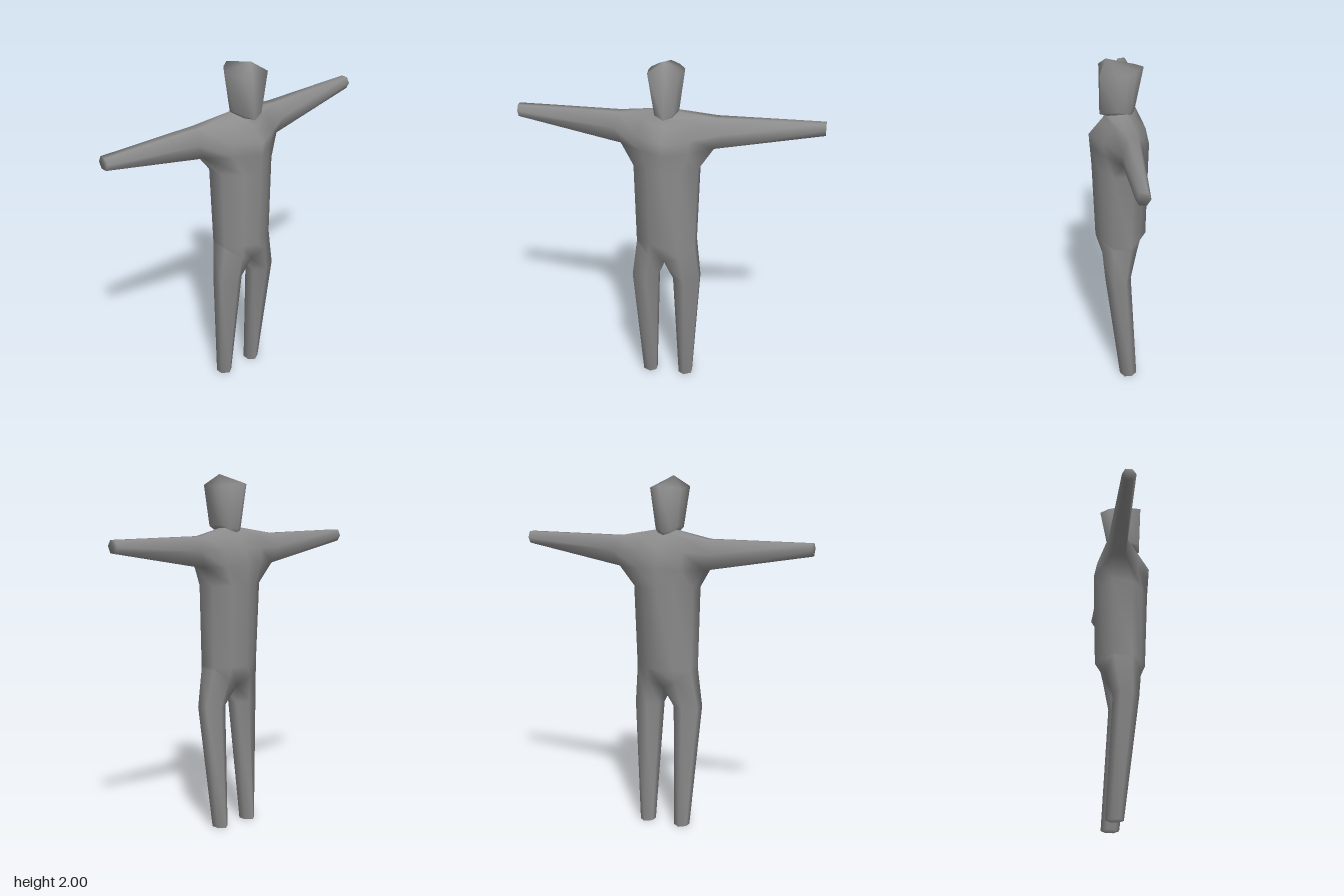
import * as THREE from 'three';
import { mergeGeometries, mergeVertices } from 'three/addons/utils/BufferGeometryUtils.js';

const material = new THREE.MeshStandardMaterial({ color: 0x8c8c8c });

// Skins a list of rings of [x, y, z] points; isOpen(ring, segment) leaves a hole,
// and an end cap fans out from the first point of its ring
function loft(rings, { capStart = false, capEnd = false, isOpen = () => false } = {}) {
  const n = rings[0].length;
  const last = (rings.length - 1) * n;
  const index = [];
  for (let k = 0; k < rings.length - 1; k++) {
    for (let i = 0; i < n; i++) {
      if (isOpen(k, i)) continue;
      const r = k * n;
      const j = (i + 1) % n;
      index.push(r + i, r + j, r + n + i, r + j, r + n + j, r + n + i);
    }
  }
  for (let i = 1; i < n - 1; i++) {
    if (capStart) index.push(0, i + 1, i);
    if (capEnd) index.push(last, last + i, last + i + 1);
  }
  const geometry = new THREE.BufferGeometry();
  geometry.setAttribute('position', new THREE.Float32BufferAttribute(rings.flat(2), 3));
  geometry.setIndex(index);
  return geometry;
}

// Welds the shared seams and smooths the whole surface
function smoothMesh(name, geometries) {
  const geometry = mergeVertices(mergeGeometries(geometries));
  geometry.computeVertexNormals();
  const mesh = new THREE.Mesh(geometry, material);
  mesh.name = name;
  return mesh;
}

const flip = ([x, y, z]) => [-x, y, z];
const mirrored = (rings) => rings.map((ring) => ring.map(flip).reverse());

// Completes a half ring that runs from the front centre round the left to the back centre
const fullRing = (half) => [...half, ...half.slice(1, -1).reverse().map(flip)];

// Half ring at a constant height from [x, z] pairs
const level = (y, points) => points.map(([x, z]) => [x, y, z]);

export function createModel() {
  const group = new THREE.Group();
  group.name = 'figure';

  // V-shaped hip line shared by torso and legs
  const hip = [
    [0, 0.815, 0.08], [0.085, 0.86, 0.1], [0.167, 0.92, 0.04],
    [0.167, 0.92, -0.06], [0.085, 0.86, -0.097], [0, 0.815, -0.075],
  ];

  // Rings around the shoulders; points 2 and 3 of each also belong to the arm
  const armpit = [
    [0, 1.5, 0.16], [0.13, 1.495, 0.08], [0.26, 1.5, -0.008],
    [0.26, 1.5, -0.09], [0.13, 1.495, -0.128], [0, 1.5, -0.165],
  ];
  const chest = [
    [0, 1.57, 0.165], [0.14, 1.575, 0.09], [0.3, 1.585, 0],
    [0.3, 1.59, -0.11], [0.14, 1.595, -0.128], [0, 1.595, -0.145],
  ];
  const shoulder = [
    [0, 1.645, 0.1], [0.13, 1.665, 0.035], [0.27, 1.668, -0.035],
    [0.27, 1.668, -0.085], [0.13, 1.668, -0.088], [0, 1.66, -0.085],
  ];
  const neck = [
    [0, 1.68, 0.08], [0.04, 1.692, 0.06], [0.062, 1.705, 0],
    [0.058, 1.705, -0.04], [0.035, 1.69, -0.06], [0, 1.68, -0.068],
  ];

  // Torso, with holes at the sides for the arms
  const torso = [
    hip,
    level(0.935, [[0, 0.135], [0.08, 0.1], [0.167, 0.04], [0.167, -0.06], [0.08, -0.115], [0, -0.152]]),
    level(1.39, [[0, 0.152], [0.09, 0.11], [0.18, 0.04], [0.18, -0.07], [0.09, -0.13], [0, -0.162]]),
    armpit, chest, shoulder, neck,
  ];
  const armHole = (ring, segment) => (ring === 3 || ring === 4) && (segment === 2 || segment === 7);

  // Arms, from the shoulder hole to a blunt wrist
  const wrist = [[1.67, -0.045], [1.64, -0.025], [1.603, -0.045], [1.603, -0.082], [1.635, -0.102], [1.67, -0.085]];
  const arm = [
    [shoulder[2], chest[2], armpit[2], armpit[3], chest[3], shoulder[3]],
    wrist.map(([y, z]) => [0.855, y, z]),
  ];

  // Legs, from the foot up to the hip line
  const leg = [
    level(0, [[0.07, -0.025], [0.105, 0], [0.147, -0.025], [0.147, -0.07], [0.11, -0.1], [0.07, -0.07]]),
    level(0.7, [[0.045, 0.045], [0.11, 0.085], [0.195, 0.04], [0.195, -0.03], [0.11, -0.062], [0.045, -0.025]]),
    hip,
  ];

  group.add(smoothMesh('body', [
    loft(torso.map(fullRing), { isOpen: armHole }),
    loft(arm, { capEnd: true }),
    loft(mirrored(arm), { capEnd: true }),
    loft(leg, { capStart: true }),
    loft(mirrored(leg), { capStart: true }),
  ]));

  // Head with a pointed chin and a ridged crown
  const jaw = [
    [0, 1.685, 0.105], [0.05, 1.712, 0.098], [0.07, 1.722, 0.01],
    [0.066, 1.722, -0.03], [0.04, 1.712, -0.062], [0, 1.7, -0.082],
  ];
  const crown = [
    [0, 2, 0.07], [0.085, 1.94, 0.105], [0.098, 1.932, 0.01],
    [0.093, 1.935, -0.04], [0.055, 1.943, -0.09], [0, 1.95, -0.13],
  ];
  group.add(smoothMesh('head', [loft([neck, jaw, crown].map(fullRing), { capEnd: true })]));

  return group;
}
